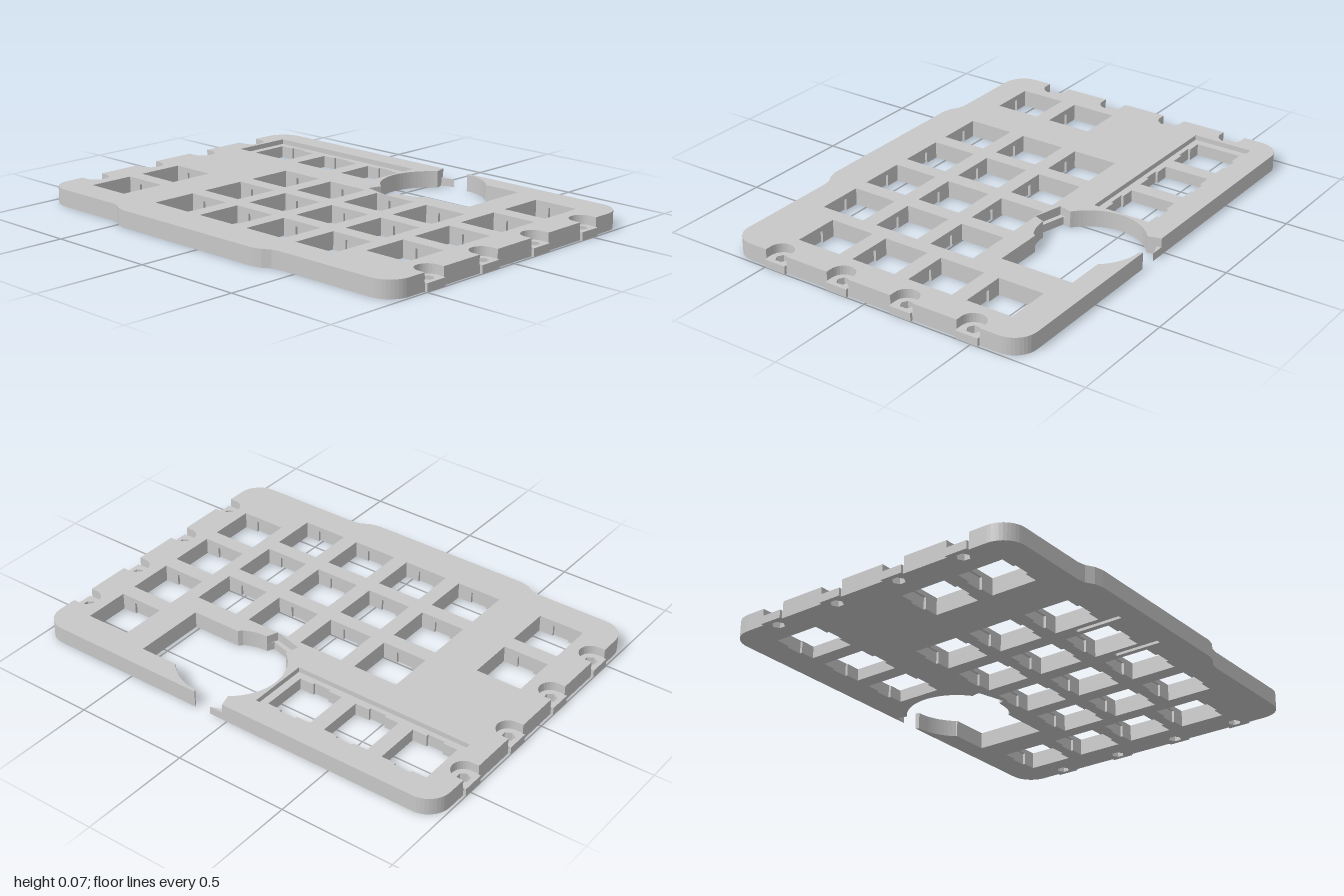
import * as THREE from 'three';

const V = (x, z) => new THREE.Vector2(x, -z);

// Points on an arc, angles in degrees, in plan coordinates (x, z)
function arc(cx, cz, r, a0, a1, n) {
  return Array.from({ length: n + 1 }, (_, i) => {
    const a = THREE.MathUtils.degToRad(a0 + (a1 - a0) * i / n);
    return [cx + r * Math.cos(a), cz + r * Math.sin(a)];
  });
}
const rect = (x0, x1, z0, z1) => [[x0, z0], [x1, z0], [x1, z1], [x0, z1]];

const SCREWS = [-0.481, -0.172, 0.138, 0.448];
const EDGE = 0.988, BACK = -0.718, FRONT = 0.682;
const FLOOR = 0.035, CLIP = 0.052, TOP = 0.074;

// Key centres: three in the recess, then the main grid and the two side columns
const KEYS = [[-0.752, -0.478], [-0.478, -0.478], [-0.203, -0.478]];
const RECESSED = KEYS.length;
for (const x of [-0.343, -0.069, 0.204, 0.479])
  for (const z of [-0.1, 0.173, 0.448]) KEYS.push([x, z]);
for (const z of [0.173, 0.448]) KEYS.push([-0.752, z]);
for (const z of [-0.478, -0.203, 0.071, 0.344]) KEYS.push([0.751, z]);

// Square key opening, optionally with clip notches front and back
function keyHole([x, z], notched) {
  const h = 0.103, w = 0.038, d = 0.114;
  if (!notched) return rect(x - h, x + h, z - h, z + h);
  return [
    [-h, -h], [-w, -h], [-w, -d], [w, -d], [w, -h], [h, -h],
    [h, h], [w, h], [w, d], [-w, d], [-w, h], [-h, h],
  ].map(([a, b]) => [x + a, z + b]);
}

// Outer contour, running through the round cutout that breaks the back edge
function outline(lower) {
  const half = arc(EDGE - 0.1, BACK + 0.1, 0.1, -90, 0, 10);
  for (const c of SCREWS) {
    if (lower) half.push([EDGE, c - 0.05], [1, c - 0.05], [1, c + 0.05], [EDGE, c + 0.05]);
    else half.push([EDGE, c - 0.053], ...arc(0.957, c, 0.053, -90, -270, 14), [EDGE, c + 0.053]);
  }
  half.push(...arc(EDGE - 0.1, FRONT - 0.1, 0.1, 0, 90, 10));
  const mirrored = half.map(([x, z]) => [-x, z]).reverse();
  const bump = [[0.42, 0], [0.385, 0.007], [0.35, 0.028], [0.31, 0.038],
    [-0.45, 0.038], [-0.49, 0.028], [-0.525, 0.007], [-0.56, 0]].map(([x, d]) => [x, FRONT + d]);
  const tabs = lower
    ? { back: [[0.085, BACK], [0.027, -0.7]], front: [[0.03, -0.256], [0.157, -0.222]] }
    : { back: [[0.022, BACK]], front: [[0.02, -0.236], [0.152, -0.203]] };
  return [
    [0.163, BACK], ...half, ...bump, ...mirrored,
    ...tabs.back,
    ...arc(0.171, -0.478, 0.226, 234, 126, 24),
    ...tabs.front,
    ...arc(0.171, -0.478, 0.226, 90, 62, 7),
    [0.29, -0.295], [0.519, -0.295], [0.519, -0.624], [0.341, -0.624],
    ...arc(0.171, -0.478, 0.226, -42, -90, 10),
  ];
}

// Extrude one horizontal layer of the case
function layer(name, y0, y1, contour, holes, material) {
  const shape = new THREE.Shape(contour.map(p => V(...p)).reverse());
  for (const h of holes) shape.holes.push(new THREE.Path(h.map(p => V(...p))));
  const geo = new THREE.ExtrudeGeometry(shape, { depth: y1 - y0, bevelEnabled: false });
  geo.rotateX(-Math.PI / 2).translate(0, y0, 0);
  const mesh = new THREE.Mesh(geo, material);
  mesh.name = name;
  return mesh;
}

export function createModel() {
  const group = new THREE.Group();
  group.name = 'keypadCase';
  const grey = new THREE.MeshStandardMaterial({ color: 0xc8c8c8 });
  grey.name = 'grey plastic';

  const notched = KEYS.map(k => keyHole(k, true));

  // Hexagonal screw holes through the lower ledges
  const screwHoles = [];
  for (const s of [-1, 1])
    for (const z of SCREWS) screwHoles.push(arc(s * 0.955, z, 0.028, 90, 390, 5));

  // Narrow slots on the underside beside one front key
  const slots = [-0.206, 0.068].map(x => rect(x - 0.01, x + 0.01, 0.42, 0.63));

  // Recess around the three back keys
  const recess = rect(-0.89, -0.067, -0.616, -0.343);
  const plain = KEYS.slice(RECESSED).map(k => keyHole(k, false));

  group.add(
    layer('lowerBody', 0, FLOOR, outline(true), [...notched, ...screwHoles, ...slots], grey),
    layer('middleBody', FLOOR, CLIP, outline(false), notched, grey),
    layer('topPlate', CLIP, TOP, outline(false), [...plain, recess], grey),
  );
  return group;
}
